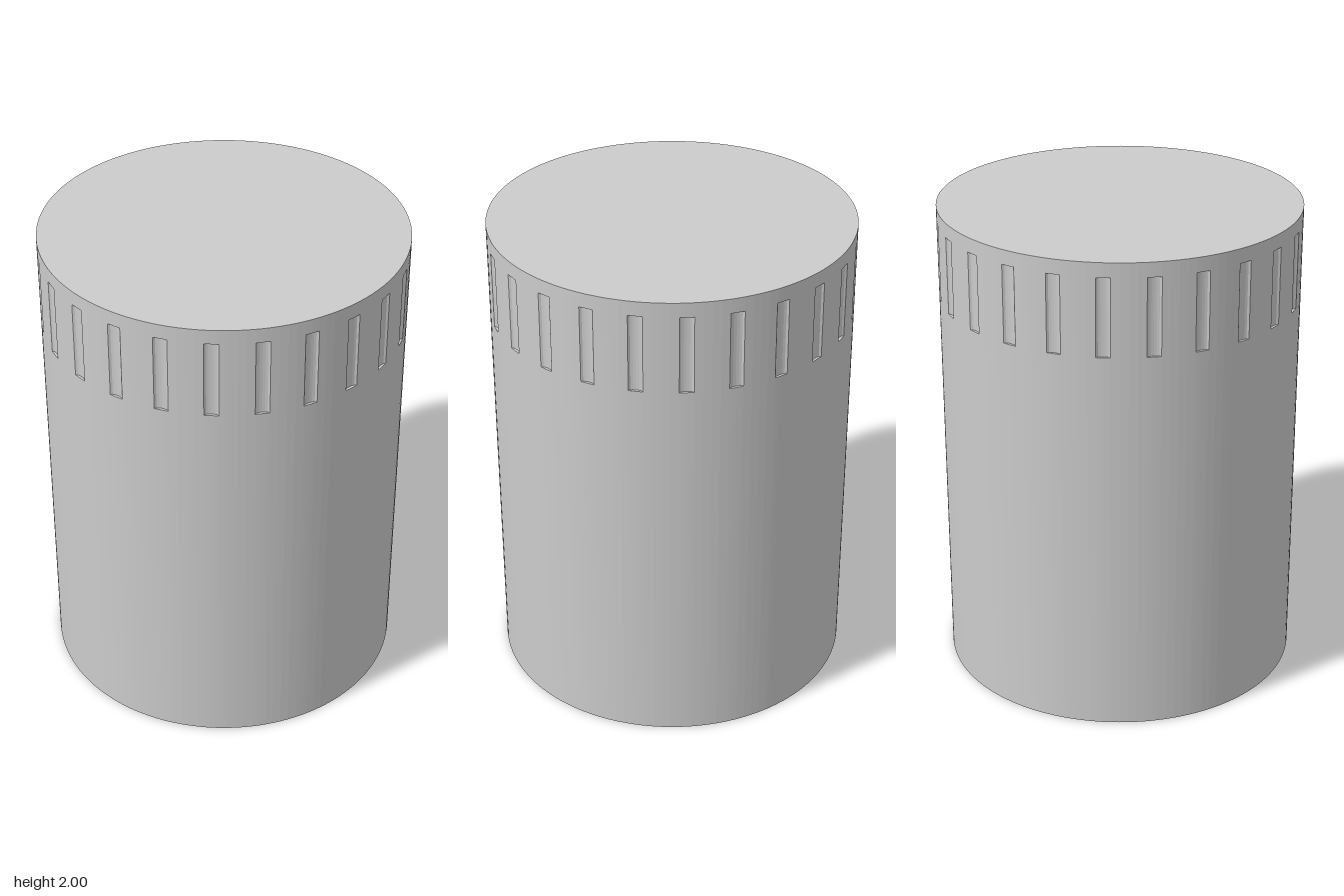
import * as THREE from 'three';

const R = 0.737, WALL = 0.018, HEIGHT = 2;
const SLOTS = 24, SLOT_HALF = 2.2, SLOT_DEPTH = 0.011;
const SLOT_BOTTOM = 1.62, SLOT_TOP = 1.94;

// Angles around the cap in degrees, each with its inward groove depth
function ringSteps() {
  const steps = [];
  for (let s = 0; s < SLOTS; s++) {
    const centre = s * 360 / SLOTS;
    for (const k of [-1, -0.75, -0.4, 0, 0.4, 0.75, 1]) {
      steps.push({ angle: centre + k * SLOT_HALF, depth: SLOT_DEPTH * Math.sqrt(1 - k * k) });
    }
    for (const offset of [4.85, 7.5, 10.15]) steps.push({ angle: centre + offset, depth: 0 });
  }
  return steps;
}

// Loft of rows [radius, y, grooved] around the vertical axis
function loft(rows) {
  const steps = ringSteps();
  const point = ([radius, y, grooved], step) => {
    const a = THREE.MathUtils.degToRad(step.angle);
    const r = radius - (grooved ? step.depth : 0);
    return new THREE.Vector3(r * Math.sin(a), y, r * Math.cos(a));
  };
  const positions = [];
  const area = new THREE.Triangle();
  const addTriangle = (a, b, c) => {
    if (area.set(a, b, c).getArea() < 1e-8) return; // skip collapsed faces
    for (const p of [a, b, c]) positions.push(p.x, p.y, p.z);
  };
  for (let i = 0; i < rows.length - 1; i++) {
    steps.forEach((step, j) => {
      const next = steps[(j + 1) % steps.length];
      const a = point(rows[i], step), b = point(rows[i], next);
      const c = point(rows[i + 1], next), d = point(rows[i + 1], step);
      addTriangle(a, b, c);
      addTriangle(a, c, d);
    });
  }
  const geometry = new THREE.BufferGeometry();
  geometry.setAttribute('position', new THREE.Float32BufferAttribute(positions, 3));
  geometry.computeVertexNormals();
  return geometry;
}

export function createModel() {
  const group = new THREE.Group();
  group.name = 'cap';
  const material = new THREE.MeshStandardMaterial({ color: 0xcccccc, flatShading: true });
  const add = (name, rows) => {
    const mesh = new THREE.Mesh(loft(rows), material);
    mesh.name = name;
    group.add(mesh);
  };

  // Hollow inside: ceiling, inner wall and bottom rim
  add('innerShell', [[0, HEIGHT - WALL], [R - WALL, HEIGHT - WALL], [R - WALL, 0], [R, 0]]);
  // Plain outer wall
  add('outerWall', [[R, 0], [R, SLOT_BOTTOM]]);
  // Grip band with shallow rounded grooves and their end ledges
  add('gripBand', [[R, SLOT_BOTTOM], [R, SLOT_BOTTOM, true], [R, SLOT_TOP, true], [R, SLOT_TOP]]);
  // Closed top
  add('top', [[R, SLOT_TOP], [R, HEIGHT], [0, HEIGHT]]);

  return group;
}
